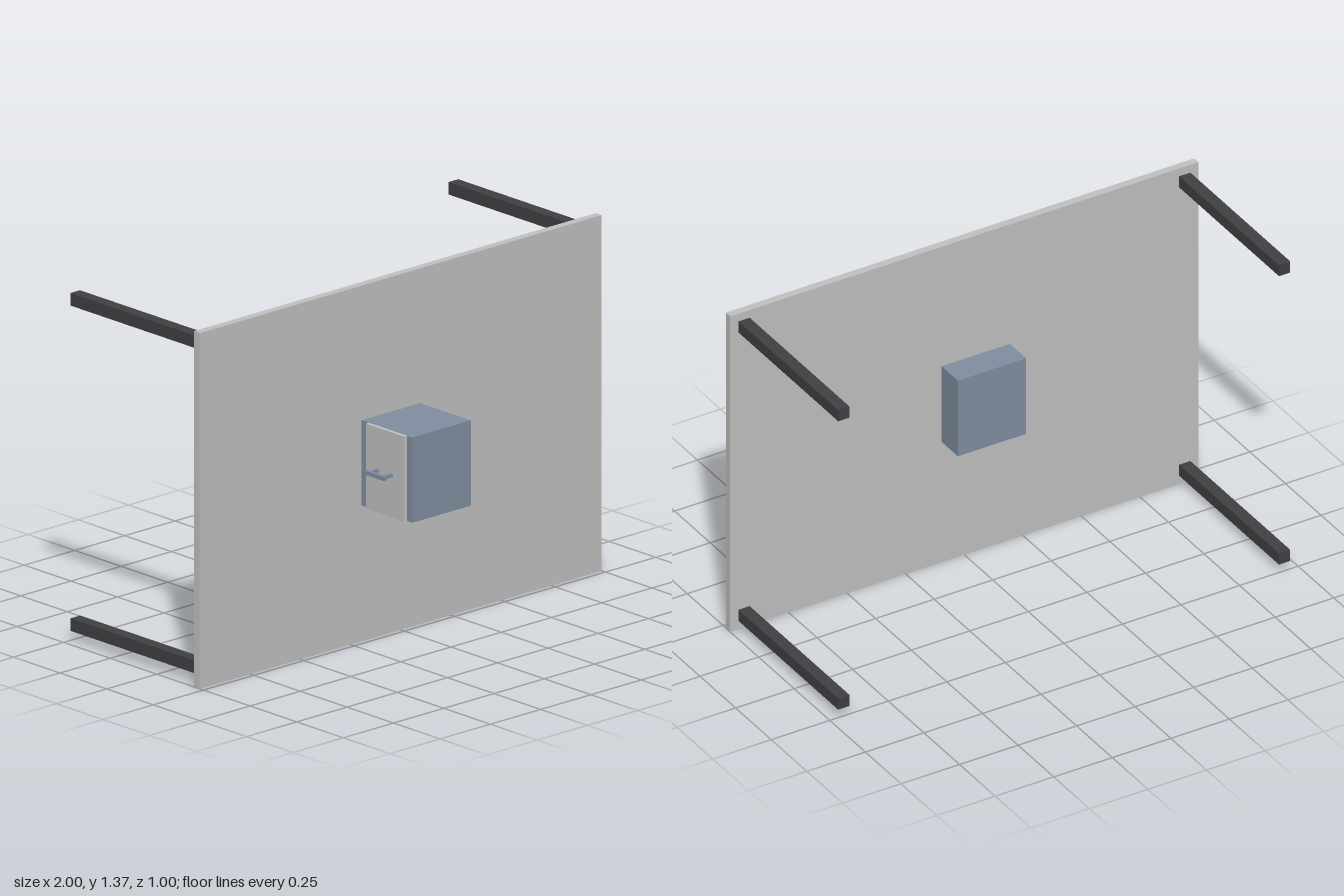
import * as THREE from 'three';

export function createModel() {
  const model = new THREE.Group();
  model.name = 'table';

  const material = (name, color) => {
    const m = new THREE.MeshStandardMaterial({ color });
    m.name = name;
    return m;
  };
  const lightGrey = material('lightGrey', 0xc0c0c0);
  const darkGrey = material('darkGrey', 0x404044);
  const slateBlue = material('slateBlue', 0x808ea0);

  // Box given by its extents along each axis
  const box = (name, mat, [x0, x1], [y0, y1], [z0, z1], parent = model) => {
    const mesh = new THREE.Mesh(new THREE.BoxGeometry(x1 - x0, y1 - y0, z1 - z0), mat);
    mesh.position.set((x0 + x1) / 2, (y0 + y1) / 2, (z0 + z1) / 2);
    mesh.name = name;
    parent.add(mesh);
    return mesh;
  };

  // Upright table top
  box('tableTop', lightGrey, [-1, 1], [0, 1.368], [0.199, 0.23]);

  // Four square legs pointing backwards
  const half = 0.024;
  for (const x of [-0.941, 0.941]) {
    for (const y of [0.06, 1.311]) {
      box('leg', darkGrey, [x - half, x + half], [y - half, y + half], [-0.502, 0.199]);
    }
  }

  // Cabinet body passing through the top
  box('cabinet', slateBlue, [-0.194, 0.097], [0.522, 0.85], [0.085, 0.502]);

  // Door plate on the right-hand side with its handle
  box('door', lightGrey, [-0.209, -0.194], [0.522, 0.85], [0.268, 0.474]);
  const handle = new THREE.Group();
  handle.name = 'handle';
  model.add(handle);
  box('handleBar', slateBlue, [-0.262, -0.248], [0.678, 0.694], [0.317, 0.423], handle);
  for (const z of [0.332, 0.407]) {
    box('handlePost', slateBlue, [-0.248, -0.209], [0.68, 0.692], [z - 0.006, z + 0.006], handle);
  }

  return model;
}
